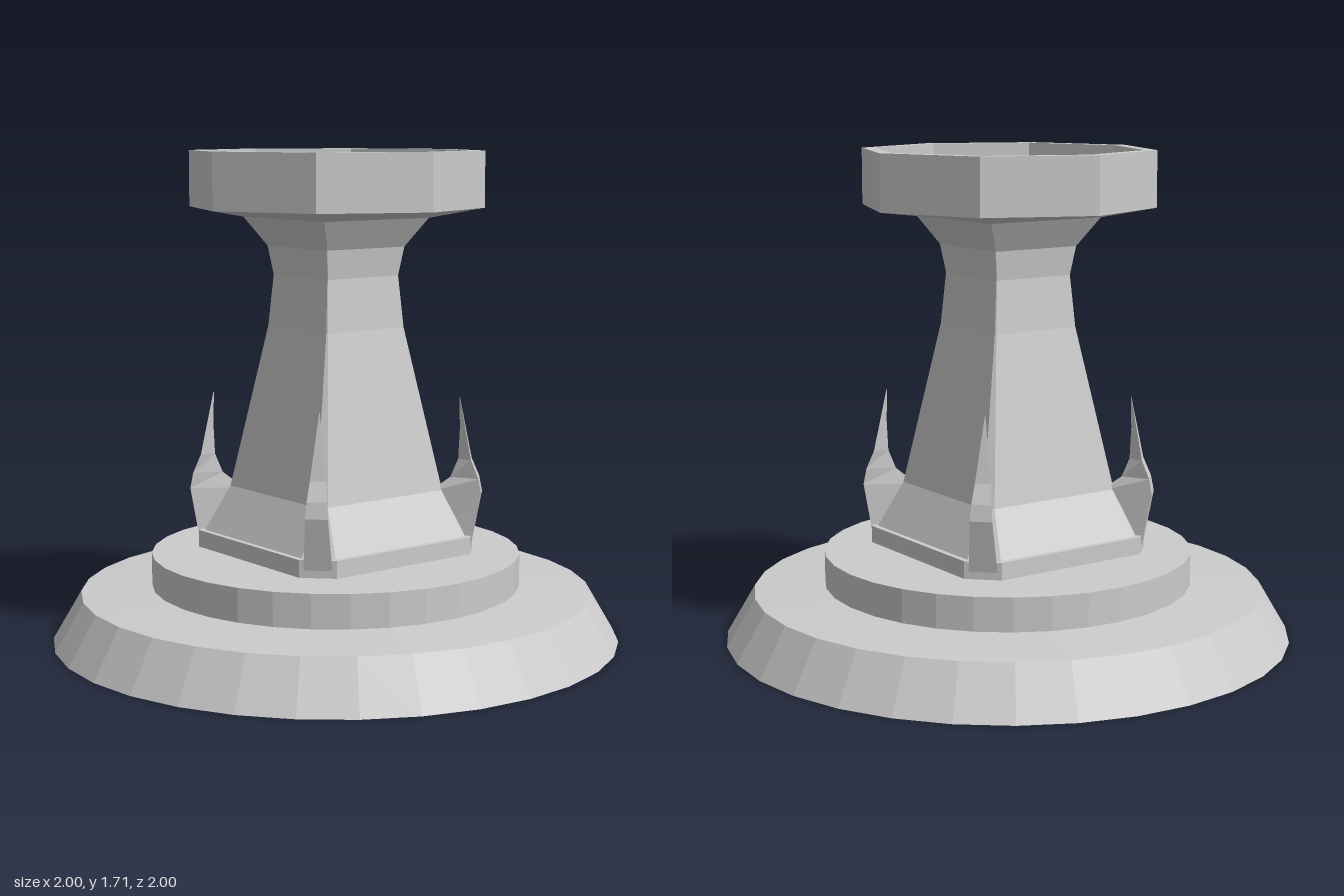
import * as THREE from 'three';

const grey = new THREE.MeshStandardMaterial({ color: 0xcccccc, flatShading: true });

// Skin a stack of rings (each a list of [x, y, z]) and close both ends.
function loft(rings) {
  const n = rings[0].length;
  const position = [];
  const tri = (a, b, c) => position.push(...a, ...b, ...c);
  for (let r = 0; r < rings.length - 1; r++) {
    for (let i = 0; i < n; i++) {
      const j = (i + 1) % n;
      const lo = rings[r], hi = rings[r + 1];
      tri(lo[i], lo[j], hi[j]);
      tri(lo[i], hi[j], hi[i]);
    }
  }
  const bottom = rings[0], top = rings[rings.length - 1];
  for (let i = 1; i < n - 1; i++) {
    tri(bottom[0], bottom[i + 1], bottom[i]);
    tri(top[0], top[i], top[i + 1]);
  }
  const geometry = new THREE.BufferGeometry();
  geometry.setAttribute('position', new THREE.Float32BufferAttribute(position, 3));
  geometry.computeVertexNormals();
  return geometry;
}

// Square of half-width w whose corners are cut off at c.
const cutSquare = ([y, w, c]) =>
  [[c, w], [w, c], [w, -c], [c, -w], [-c, -w], [-w, -c], [-w, c], [-c, w]].map(([x, z]) => [x, y, z]);

function lathe(profile, sides) {
  return new THREE.LatheGeometry(profile.map(([r, y]) => new THREE.Vector2(r, y)), sides);
}

export function createModel() {
  const model = new THREE.Group();
  model.name = 'pedestal';
  const add = (name, geometry) => {
    const mesh = new THREE.Mesh(geometry, grey);
    mesh.name = name;
    model.add(mesh);
    return mesh;
  };

  // Round stepped foot
  add('base', lathe([[0, 0], [1, 0], [0.9, 0.17], [0.64, 0.185], [0.64, 0.195]], 32));
  add('baseStep', lathe([[0, 0.19], [0.65, 0.19], [0.65, 0.305], [0, 0.305]], 32));

  // Square column with cut corners, on a low plinth
  add('plinth', loft([[0.315, 0.385, 0.295], [0.375, 0.385, 0.295]].map(cutSquare)));
  add('column', loft([
    [0.375, 0.365, 0.285], [0.53, 0.278, 0.25], [1.1, 0.17, 0.166], [1.28, 0.155, 0.153],
    [1.38, 0.17, 0.168], [1.48, 0.23, 0.228],
  ].map(cutSquare)));

  // Underside of the top, blending from the square column to the octagon
  const octagon = (y, flat, corner) => Array.from({ length: 8 }, (_, i) => {
    const a = i * Math.PI / 4, r = i % 2 ? corner : flat;
    return [r * Math.sin(a), y, r * Math.cos(a)];
  });
  add('topUnderside', loft([octagon(1.48, 0.23, 0.23 * Math.SQRT2), octagon(1.515, 0.515, 0.515)]));

  // Octagonal top with a raised rim around a sunken plate
  add('top', lathe([[0.515, 1.515], [0.515, 1.71], [0.468, 1.71], [0.468, 1.66], [0, 1.66]], 8));

  // Curved claws on the four corners: [height, outer radius, half-width, inner radius]
  const claw = loft([
    [0.315, 0.476, 0.05, 0.3], [0.52, 0.515, 0.038, 0.33], [0.575, 0.505, 0.034, 0.405],
    [0.64, 0.478, 0.027, 0.432], [0.75, 0.457, 0.014, 0.437], [0.86, 0.436, 0.001, 0.434],
  ].map(([y, outer, w, inner]) => [[outer, y, w], [outer, y, -w], [inner, y, 0]]));
  for (let i = 0; i < 4; i++) {
    add('claw', claw).rotation.y = Math.PI / 4 + i * Math.PI / 2;
  }
  return model;
}
